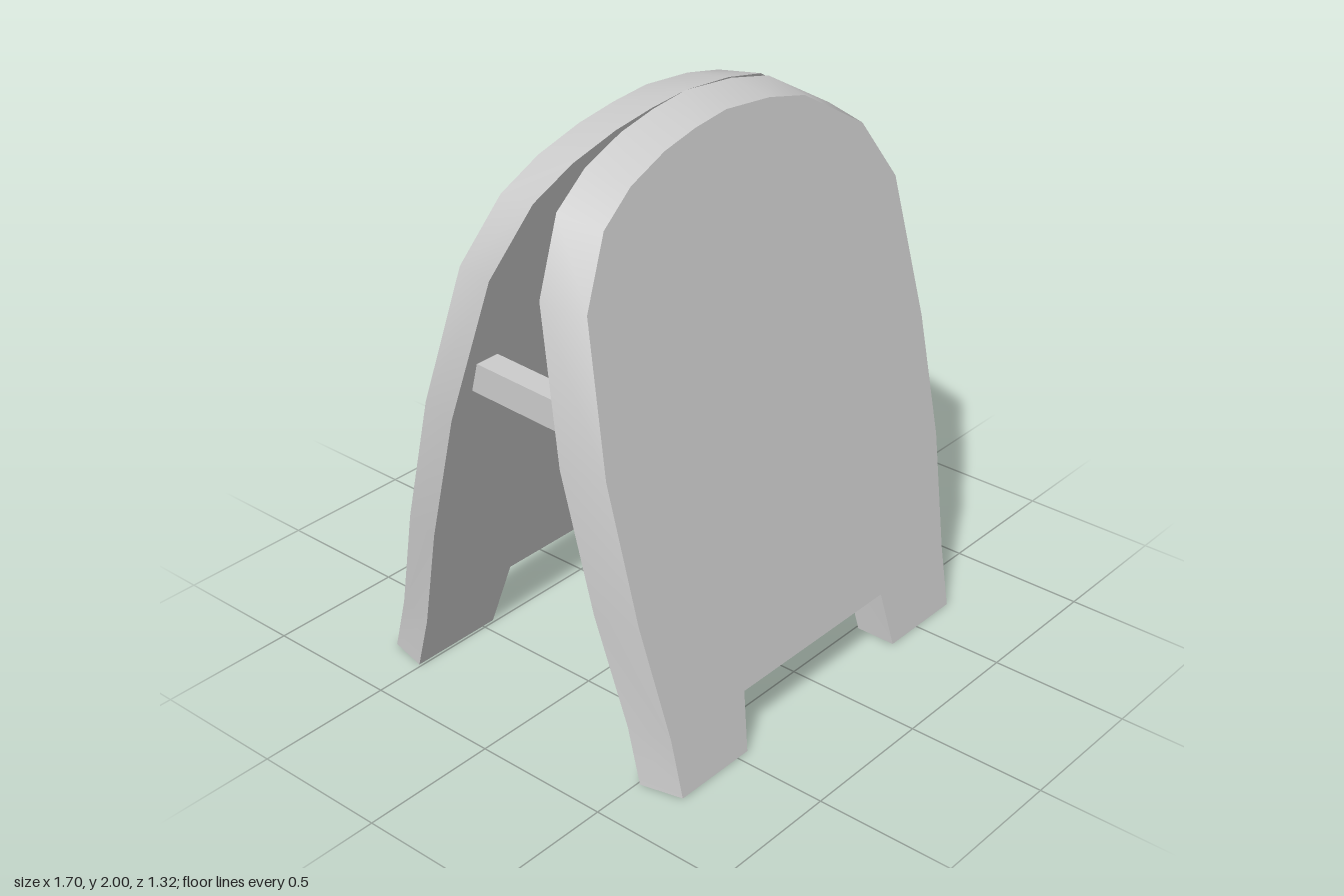
import * as THREE from 'three';
import { toCreasedNormals } from 'three/addons/utils/BufferGeometryUtils.js';

// Panel edge on the hinge side, anticlockwise from the front, without the foot notch
const EDGE = [
  [0.72, 0], [0.745, 0.21], [0.82, 0.61], [0.846, 1.035], [0.825, 1.545], [0.69, 1.775],
  [0.41, 1.94], [0.23, 1.98], [0.01, 2], [-0.15, 1.985], [-0.31, 1.957], [-0.49, 1.9],
  [-0.644, 1.81], [-0.787, 1.585], [-0.853, 1.08], [-0.845, 0.6], [-0.808, 0.2], [-0.81, 0],
];
// Opening of the sign recess in the back panel
const RECESS = [
  [-0.67, 0.32], [0.615, 0.32], [0.665, 0.6], [0.69, 1.0], [0.672, 1.47], [0.62, 1.59],
  [0.54, 1.69], [0.3, 1.81], [0, 1.85], [-0.28, 1.83], [-0.48, 1.77], [-0.63, 1.55],
  [-0.68, 1.35], [-0.7, 1.04], [-0.69, 0.65],
];

const outerZ = (y) => 0.66 - 0.249 * y;
const innerZ = (y) => 0.51 - 0.255 * y;
const notch = (top) => [[-0.45, 0], [-0.41, top], [0.34, top], [0.357, 0]];
const ring = (points, zAt) => points.map(([x, y]) => new THREE.Vector3(x, y, zAt(y)));

// Leaning board: bevelled rim, two faces and an optional sunken field
function panelGeometry(recessed, mirrored) {
  const pos = [];
  const tri = (a, b, c) => {
    for (const p of mirrored ? [a, c, b] : [a, b, c]) pos.push(p.x, p.y, mirrored ? -p.z : p.z);
  };
  // Band between two rings, facing outward when b lies in front of a
  const band = (a, b) => a.forEach((p, i) => {
    const j = (i + 1) % a.length;
    tri(p, a[j], b[j]);
    tri(p, b[j], b[i]);
  });
  // Flat face, optionally with a hole
  const cap = (r, hole, reverse) => {
    const flat = (q) => q.map((p) => new THREE.Vector2(p.x, p.y));
    const all = hole ? [...r, ...hole] : r;
    for (const [a, b, c] of THREE.ShapeUtils.triangulateShape(flat(r), hole ? [flat(hole)] : [])) {
      const area = (all[b].x - all[a].x) * (all[c].y - all[a].y)
        - (all[c].x - all[a].x) * (all[b].y - all[a].y);
      if ((area > 0) !== reverse) tri(all[a], all[b], all[c]);
      else tri(all[a], all[c], all[b]);
    }
  };

  const inner = ring([...EDGE, ...notch(0.23)], innerZ);
  const shrunk = EDGE.map(([x, y]) => [x * 0.956, y > 1.7 ? y - 0.022 : y > 1.2 ? y - 0.01 : y]);
  const outer = ring([...shrunk, ...notch(0.195)], outerZ);
  band(inner, outer);
  cap(inner, null, true);

  if (recessed) {
    const opening = ring(RECESS, outerZ);
    const floor = ring(
      RECESS.map(([x, y]) => [x * 0.948, 1.065 + (y - 1.08) * 0.955]),
      (y) => outerZ(y) - 0.066,
    );
    cap(outer, [...opening].reverse(), false);
    band(opening, floor);
    cap(floor, null, false);
  } else {
    cap(outer, null, false);
  }

  const geo = new THREE.BufferGeometry();
  geo.setAttribute('position', new THREE.Float32BufferAttribute(pos, 3));
  return toCreasedNormals(geo, 0.6);
}

export function createModel() {
  const group = new THREE.Group();
  group.name = 'sandwichBoard';
  const material = new THREE.MeshStandardMaterial({ color: 0xcccccc });
  const add = (name, geo) => {
    const mesh = new THREE.Mesh(geo, material);
    mesh.name = name;
    group.add(mesh);
    return mesh;
  };

  add('frontPanel', panelGeometry(false, false));
  add('backPanel', panelGeometry(true, true));

  // Spreader bars holding the panels apart
  for (const [name, x] of [['leftBrace', 0.755], ['rightBrace', -0.732]]) {
    const bar = add(name, new THREE.BoxGeometry(0.092, 0.105, 0.44));
    bar.position.set(x, 1.21, 0);
    bar.rotation.x = 0.045;
  }
  return group;
}
